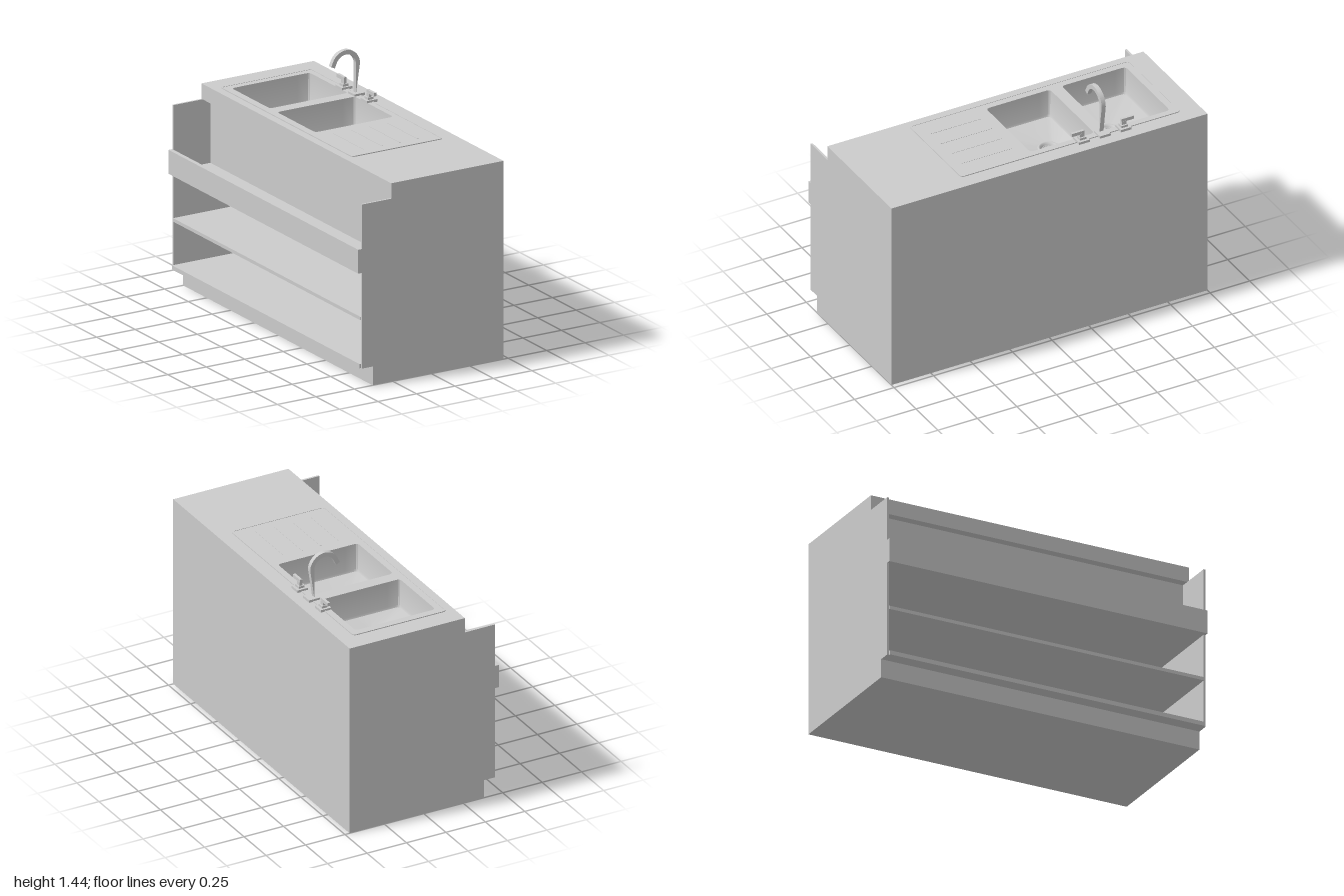
import * as THREE from 'three';
import { toCreasedNormals } from 'three/addons/utils/BufferGeometryUtils.js';

const TOP = 1.16;      // worktop height
const END = 0.012;     // panel thickness
const grey = new THREE.MeshStandardMaterial({ color: 0xcccccc });
const greyDouble = new THREE.MeshStandardMaterial({ color: 0xcccccc, side: THREE.DoubleSide });

function add(parent, name, geometry, material = grey) {
  const mesh = new THREE.Mesh(geometry, material);
  mesh.name = name;
  parent.add(mesh);
  return mesh;
}

// Box given by its lower and upper limits
function block(parent, name, [x0, x1], [y0, y1], [z0, z1]) {
  const mesh = add(parent, name, new THREE.BoxGeometry(x1 - x0, y1 - y0, z1 - z0));
  mesh.position.set((x0 + x1) / 2, (y0 + y1) / 2, (z0 + z1) / 2);
  return mesh;
}

// Rounded rectangle as points, with extra points along the straight sides
function roundedRect(hx, hy, r, cx = 0, cy = 0) {
  const corners = [[1, 1], [-1, 1], [-1, -1], [1, -1]];
  const arc = (c, j) => {
    const a = (c + j / 3) * Math.PI / 2;
    return new THREE.Vector2(cx + corners[c][0] * (hx - r) + r * Math.cos(a),
      cy + corners[c][1] * (hy - r) + r * Math.sin(a));
  };
  const points = [];
  for (let c = 0; c < 4; c++) {
    for (let j = 0; j <= 3; j++) points.push(arc(c, j));
    const from = arc(c, 3), to = arc((c + 1) % 4, 0);
    for (let k = 1; k < 8; k++) points.push(from.clone().lerp(to, k / 8));
  }
  return points;
}

// Horizontal slab with holes; outlines are in x and -z
function slab(outline, holes, y, height) {
  const shape = new THREE.Shape(outline);
  holes.forEach(h => shape.holes.push(new THREE.Path(h)));
  return new THREE.ExtrudeGeometry(shape, { depth: height, bevelEnabled: false })
    .rotateX(-Math.PI / 2).translate(0, y, 0);
}

// Surface through rings of equal point count, each ring { points, y }
function loft(rings) {
  const n = rings[0].points.length, position = [], index = [];
  rings.forEach(({ points, y }) => points.forEach(p => position.push(p.x, y, -p.y)));
  for (let r = 0; r < rings.length - 1; r++) {
    for (let i = 0; i < n; i++) {
      const a = r * n + i, b = r * n + (i + 1) % n;
      index.push(a, b, a + n, b, b + n, a + n);
    }
  }
  const geometry = new THREE.BufferGeometry();
  geometry.setAttribute('position', new THREE.Float32BufferAttribute(position, 3));
  geometry.setIndex(index);
  return toCreasedNormals(geometry, 0.5);
}

const BOWL = { x: 0.087, hx: 0.253, hz: 0.202 };
const bowlZ = [-0.632, -0.154];
const drainZ = [-0.582, -0.208];

function makeBowl(z, drainAt) {
  const bowl = new THREE.Group();
  bowl.name = 'sinkBowl';
  const dz = drainAt - z, floorY = -0.165, drainY = -0.19;
  const floor = roundedRect(BOWL.hx - 0.008, BOWL.hz - 0.008, 0.018);
  const drainRing = floor.map(p => p.clone().setLength(0.06).add(new THREE.Vector2(0, -dz)));
  add(bowl, 'basin', loft([
    { points: roundedRect(BOWL.hx, BOWL.hz, 0.02), y: 0.003 },
    { points: roundedRect(BOWL.hx - 0.003, BOWL.hz - 0.003, 0.02), y: floorY + 0.012 },
    { points: floor, y: floorY },
    { points: drainRing, y: drainY },
  ]), greyDouble);

  // Drain flange, cup and strainer
  const drain = new THREE.Group();
  drain.name = 'drain';
  drain.position.set(0, drainY, dz);
  const profile = [[0.062, 0], [0.058, 0.004], [0.048, 0.003], [0.043, -0.012], [0.04, -0.02], [0, -0.02]];
  add(drain, 'drainCup', new THREE.LatheGeometry(profile.map(p => new THREE.Vector2(...p)), 32), greyDouble);
  add(drain, 'strainerRing', new THREE.TorusGeometry(0.036, 0.003, 6, 32).rotateX(Math.PI / 2)).position.y = -0.01;
  add(drain, 'strainerKnob', new THREE.CylinderGeometry(0.012, 0.014, 0.018, 20)).position.y = -0.011;
  for (let i = 0; i < 12; i++) {
    add(drain, 'strainerSpoke', new THREE.BoxGeometry(0.026, 0.004, 0.004)
      .translate(0.024, -0.011, 0).rotateY(i * Math.PI / 6));
  }
  bowl.add(drain);
  bowl.position.set(BOWL.x, TOP, z);
  return bowl;
}

function makeFaucet() {
  const faucet = new THREE.Group();
  faucet.name = 'faucet';
  faucet.position.set(0.371, TOP, -0.39);
  const base = z => block(faucet, 'basePlate', [-0.034, 0.034], [0, 0.015], [z - 0.034, z + 0.034]);

  // Gooseneck spout with a square section
  const end = THREE.MathUtils.degToRad(155), w = 0.013, R = 0.078, cx = -0.076, cy = 0.185;
  const tip = r => [cx + r * Math.cos(end) - 0.033 * Math.sin(end), cy + r * Math.sin(end) + 0.033 * Math.cos(end)];
  const shape = new THREE.Shape();
  shape.moveTo(cx + R + w, 0.01);
  shape.absarc(cx, cy, R + w, 0, end, false);
  shape.lineTo(...tip(R + w));
  shape.lineTo(...tip(R - w));
  shape.absarc(cx, cy, R - w, end, 0, true);
  shape.lineTo(cx + R - w, 0.01);
  base(0);
  add(faucet, 'spout', toCreasedNormals(new THREE.ExtrudeGeometry(shape,
    { depth: 2 * w, bevelEnabled: false, curveSegments: 28 }).translate(0, 0, -w), 0.5));

  // Lever handles on either side, pointing away from the spout
  for (const s of [-1, 1]) {
    const z = s * 0.132;
    base(z);
    block(faucet, 'handleCollar', [-0.018, 0.018], [0.015, 0.028], [z - 0.02, z + 0.02]);
    block(faucet, 'handleStem', [-0.009, 0.009], [0.028, 0.05], [z - 0.014, z + 0.014]);
    const ends = [z - s * 0.014, z + s * 0.064].sort((a, b) => a - b);
    block(faucet, 'handleLever', [-0.008, 0.008], [0.046, 0.066], ends);
  }
  return faucet;
}

export function createModel() {
  const model = new THREE.Group();
  model.name = 'sinkCounter';

  // Cabinet: notched end panels, tall panel, plinth and shelves
  const side = [[-0.38, 0], [0.47, 0], [0.47, 1.07], [-0.45, 1.07], [-0.45, 0.11], [-0.38, 0.11]];
  for (const z of [-1, 1 - END]) {
    add(model, 'endPanel', new THREE.ExtrudeGeometry(new THREE.Shape(side.map(p => new THREE.Vector2(...p))),
      { depth: END, bevelEnabled: false }).translate(0, 0, z));
  }
  const inner = [-1 + END, 1 - END];
  block(model, 'tallPanel', [0.47 - END, 0.47], [0, 1.07], inner);
  block(model, 'plinth', [-0.38, 0.458], [0, 0.112], inner);
  block(model, 'bottomShelf', [-0.45, 0.458], [0.11, 0.135], inner);
  block(model, 'bottomLip', [-0.459, -0.45], [0.11, 0.135], inner);
  block(model, 'middleShelf', [-0.453, 0.458], [0.39, 0.41], inner);
  block(model, 'upperShelf', [-0.45, 0.458], [0.67, 0.69], inner);
  block(model, 'shelfRail', [-0.475, -0.45], [0.67, 0.81], [-1, 1]);
  block(model, 'sinkScreen', [-0.21, -0.198], [0.69, 1.075], inner);

  // Worktop with openings for the bowls
  const holes = grow => bowlZ.map(z => roundedRect(BOWL.hx + grow, BOWL.hz + grow, 0.02, BOWL.x, -z));
  const rect = [[-0.26, -1], [0.47, -1], [0.47, 1], [-0.26, 1]].map(p => new THREE.Vector2(...p));
  add(model, 'worktop', slab(rect, holes(0.002), 1.07, TOP - 1.07));

  // Sink surround with a raised edge and drainer ribs
  const cx = 0.084, cz = -0.186;
  const outer = roundedRect(0.296, 0.695, 0.02, cx, -cz);
  add(model, 'sinkSurround', slab(outer, holes(0), TOP, 0.003));
  add(model, 'surroundEdge', slab(outer, [roundedRect(0.29, 0.689, 0.016, cx, -cz)], TOP, 0.005));
  for (let i = 0; i < 4; i++) {
    const x = -0.09 + i * 0.116;
    block(model, 'drainerRib', [x - 0.003, x + 0.003], [TOP, TOP + 0.0045], [0.12, 0.44]);
  }

  bowlZ.forEach((z, i) => model.add(makeBowl(z, drainZ[i])));
  model.add(makeFaucet());
  return model;
}
